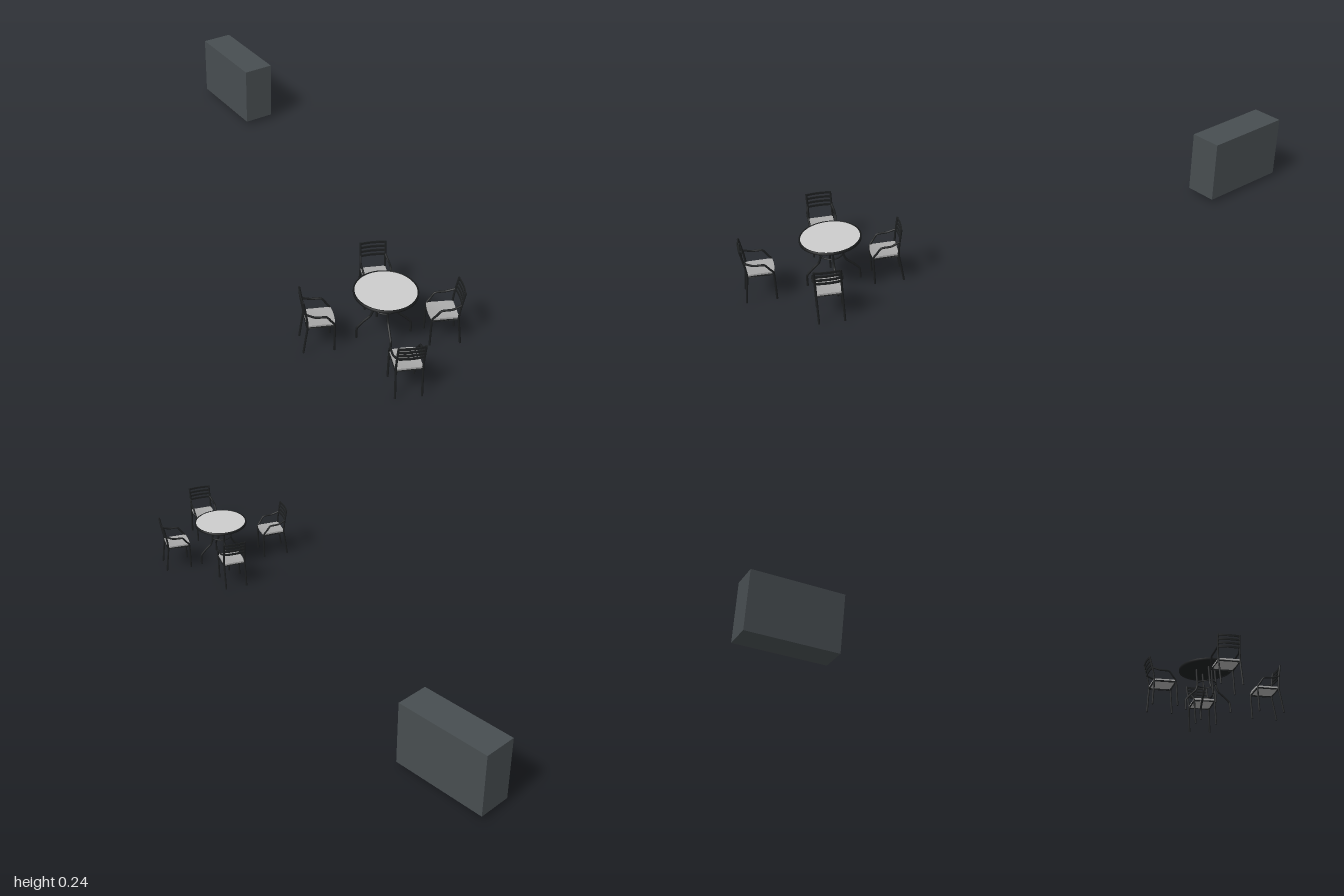
import * as THREE from 'three';

const frameMat = new THREE.MeshStandardMaterial({ color: 0x1c1e1f });
const greyMat = new THREE.MeshStandardMaterial({ color: 0xcccccc });
const seatMat = new THREE.MeshStandardMaterial({ color: 0xa8a8a8 });
const boxMat = new THREE.MeshStandardMaterial({ color: 0x474d50 });

function add(parent, name, geometry, material, x = 0, y = 0, z = 0) {
  const mesh = new THREE.Mesh(geometry, material);
  mesh.name = name;
  mesh.position.set(x, y, z);
  parent.add(mesh);
  return mesh;
}

// Round bar through a few points, closed at both ends
function bar(parent, name, points, radius = 0.0035) {
  const pts = points.map((p) => new THREE.Vector3(...p));
  const curve = new THREE.CatmullRomCurve3(pts, false, 'catmullrom', 0.3);
  const steps = pts.length > 2 ? pts.length * 5 : 1;
  const mesh = add(parent, name, new THREE.TubeGeometry(curve, steps, radius, 8), frameMat);
  for (const [i, t] of [[0, 0], [pts.length - 1, 1]]) {
    const cap = add(mesh, name + 'End', new THREE.CircleGeometry(radius, 8), frameMat);
    const dir = curve.getTangent(t).multiplyScalar(t ? 1 : -1);
    cap.position.copy(pts[i]);
    cap.quaternion.setFromUnitVectors(new THREE.Vector3(0, 0, 1), dir);
  }
}

// Armchair facing local +z
function createChair() {
  const chair = new THREE.Group();
  chair.name = 'chair';
  const w = 0.041;
  for (const s of [-1, 1]) {
    const x = s * w;
    bar(chair, 'backLeg', [[x, 0, -0.047], [x, 0.05, -0.041], [x, 0.1, -0.035],
      [x, 0.14, -0.039], [x, 0.195, -0.049]]);
    bar(chair, 'frontLegAndArm', [[x, 0, 0.05], [x, 0.05, 0.05], [x, 0.1, 0.049],
      [x + s * 0.003, 0.118, 0.037], [x + s * 0.005, 0.137, 0.022],
      [x + s * 0.005, 0.139, -0.012], [x, 0.15, -0.041]]);
    bar(chair, 'seatSideRail', [[x, 0.096, -0.035], [x, 0.096, 0.049]]);
  }
  for (const z of [-0.035, 0.049]) bar(chair, 'seatCrossRail', [[-w, 0.096, z], [w, 0.096, z]]);

  // Back slats bow rearwards in the middle
  for (let i = 0; i < 4; i++) {
    const y = 0.148 + i * 0.0143;
    const geo = new THREE.BoxGeometry(2 * w, 0.0075, 0.0035, 10, 1, 1);
    const p = geo.attributes.position;
    for (let k = 0; k < p.count; k++) {
      p.setZ(k, p.getZ(k) - 0.004 * (1 - (p.getX(k) / w) ** 2));
    }
    geo.computeVertexNormals();
    add(chair, 'backSlat', geo, frameMat, 0, y, -0.04 - (y - 0.14) * 0.17);
  }

  // Slightly dished seat with a bowed front edge
  const seat = new THREE.BoxGeometry(2 * w, 0.006, 0.086, 10, 1, 10);
  const p = seat.attributes.position;
  for (let k = 0; k < p.count; k++) {
    const u = p.getX(k) / w;
    const v = p.getZ(k) / 0.043;
    p.setY(k, p.getY(k) - 0.004 * (1 - u * u) * (1 - v * v));
    p.setZ(k, p.getZ(k) + 0.004 * (1 - u * u) * (v + 1) / 2);
  }
  seat.computeVertexNormals();
  add(chair, 'seat', seat, seatMat, 0, 0.102, 0.007);
  return chair;
}

function createTable() {
  const table = new THREE.Group();
  table.name = 'table';
  add(table, 'tableTop', new THREE.CylinderGeometry(0.098, 0.098, 0.006, 48), greyMat, 0, 0.1715, 0);
  const rim = [[0.097, 0.167], [0.102, 0.167], [0.102, 0.175], [0.097, 0.175], [0.097, 0.167]];
  add(table, 'tableRim', new THREE.LatheGeometry(rim.map((q) => new THREE.Vector2(...q)), 48), frameMat);
  add(table, 'underside', new THREE.CylinderGeometry(0.097, 0.097, 0.001, 48), frameMat, 0, 0.168, 0);
  add(table, 'braceRing', new THREE.TorusGeometry(0.036, 0.0025, 8, 32), frameMat, 0, 0.11, 0)
    .rotation.x = Math.PI / 2;
  // Four legs sweep in from the feet, then rise to the top
  for (let i = 0; i < 4; i++) {
    const a = i * Math.PI / 2 + 0.39;
    const c = Math.cos(a);
    const s = Math.sin(a);
    const path = [[0.088, 0], [0.088, 0.02], [0.086, 0.04], [0.066, 0.062], [0.046, 0.08],
      [0.038, 0.1], [0.037, 0.13], [0.037, 0.168]];
    bar(table, 'tableLeg', path.map(([r, y]) => [r * c, y, r * s]), 0.0038);
  }
  return table;
}

export function createModel() {
  const model = new THREE.Group();
  model.name = 'patioSet';

  const table = createTable();
  table.position.set(-0.078, 0, 0.71);
  // Mirror of the chair layout so the legs stand between the chairs
  table.rotation.y = 0;
  model.add(table);

  // Chair centre x, z and facing direction x, z
  const places = [
    [0.001, 0.549, -0.4, 0.916],
    [-0.28, 0.631, 0.916, 0.4],
    [0.076, 0.813, -0.9, -0.43],
    [-0.165, 0.936, 0.4, -0.916],
  ];
  for (const [x, z, fx, fz] of places) {
    const chair = createChair();
    chair.position.set(x, 0, z);
    chair.rotation.y = Math.atan2(fx, fz);
    model.add(chair);
  }

  // Separate storage block
  add(model, 'storageBlock', new THREE.BoxGeometry(0.117, 0.227, 0.342), boxMat, 0.2885, 0.1285, -0.829);
  return model;
}
